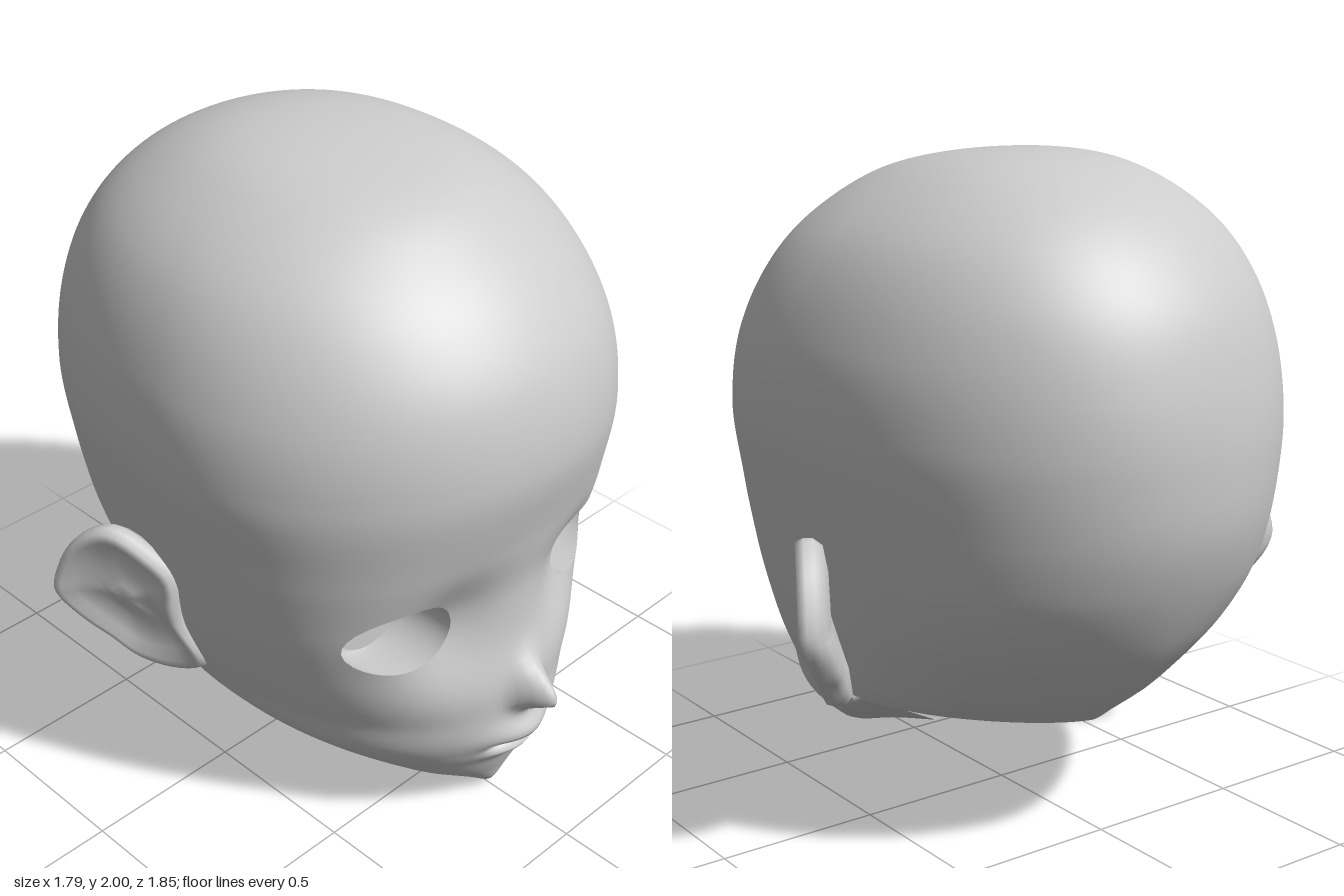
import * as THREE from 'three';
import { mergeGeometries, mergeVertices } from 'three/addons/utils/BufferGeometryUtils.js';

const material = new THREE.MeshStandardMaterial({ color: 0xcccccc, side: THREE.DoubleSide });
const TOP = 2, JAW = 0.43;

// Smooth curve through [height, value] pairs, eased so that the crown closes roundly
function profile(points) {
  const s = points.map(p => Math.sqrt(TOP - p[0])), v = points.map(p => p[1]);
  const last = s.length - 1;
  const slope = i => {
    const a = Math.max(i - 1, 0), b = Math.min(i + 1, last);
    const turns = a < i && i < b && (v[i] - v[a]) * (v[b] - v[i]) <= 0;
    return turns ? 0 : (v[b] - v[a]) / (s[b] - s[a]);
  };
  return y => {
    const q = Math.sqrt(Math.max(TOP - y, 0));
    let i = 0;
    while (i < last - 1 && q > s[i + 1]) i++;
    const h = s[i + 1] - s[i], t = Math.min((q - s[i]) / h, 1), t2 = t * t, t3 = t2 * t;
    return v[i] * (2 * t3 - 3 * t2 + 1) + v[i + 1] * (3 * t2 - 2 * t3)
      + h * (slope(i) * (t3 - 2 * t2 + t) + slope(i + 1) * (t3 - t2));
  };
}

// Half width, front line, back line and widest depth of the head at each height
const halfWidth = profile([[2, 0], [1.98, 0.23], [1.9, 0.43], [1.74, 0.62], [1.48, 0.74], [1.25, 0.765],
  [1, 0.725], [0.8, 0.69], [0.6, 0.65], [0.43, 0.59], [0.29, 0.5], [0.13, 0.27], [0.05, 0.1], [0, 0]]);
const frontZ = profile([[2, -0.13], [1.985, 0.1], [1.93, 0.36], [1.82, 0.55], [1.68, 0.7], [1.5, 0.81],
  [1.27, 0.85], [1, 0.8], [0.8, 0.77], [0.65, 0.775], [0.47, 0.8], [0.38, 0.8], [0.3, 0.79],
  [0.18, 0.755], [0.1, 0.725], [0.02, 0.69], [0, 0.65]]);
const backZ = profile([[2, -0.13], [1.965, -0.39], [1.84, -0.64], [1.63, -0.82], [1.4, -0.9],
  [1.18, -0.925], [0.94, -0.9], [0.67, -0.78], [0.47, -0.62], [0.34, -0.46], [0, -0.1]]);
const midZ = profile([[2, -0.13], [1.9, -0.05], [1.5, 0.05], [1.2, 0.08], [0.8, 0.05], [0.6, -0.01],
  [0.43, -0.05], [0.29, 0.14], [0.13, 0.4], [0.07, 0.5], [0, 0.62]]);
// Roundness exponents of the front and back sections
const frontRound = profile([[2, 2], [1.3, 2.05], [0.8, 2.35], [0.5, 2.2], [0, 1.9]]);
const backRound = profile([[2, 2.1], [0.85, 2.1], [0.4, 1.4], [0, 1.3]]);

const bell = t => Math.exp(-t * t);
const EYE = { x: 0.375, y: 0.765, rx: 0.155, ry: 0.115 };

function arc(x, y, n) {
  const w = halfWidth(y);
  const k = w > 1e-6 ? Math.min(Math.abs(x) / w, 1) : 0;
  return Math.pow(Math.max(1 - Math.pow(k, n), 0), 1 / n);
}

// Face depth with nose, lips, mouth slit and eye hollows
function faceZ(x, y) {
  const mid = midZ(y);
  let z = mid + (frontZ(y) - mid) * arc(x, y, frontRound(y));
  z += 0.125 * bell((y - 0.47) / (y > 0.47 ? 0.085 : 0.055)) * bell(x / 0.05);
  z += (0.05 * bell((y - 0.31) / 0.05) + 0.025 * bell((y - 0.235) / 0.03)) * bell(x / 0.13);
  z -= 0.055 * bell((y - 0.272) / 0.015) * Math.exp(-Math.pow(x / 0.11, 4));
  z -= 0.062 * bell((Math.abs(x) - 0.25) / 0.14) * bell((y - 0.765) / 0.16);
  return z;
}

// Surface over a grid; at(i, j) gives [x, y, z, hole], faces lying wholly in a hole are left out
function grid(nu, nv, at) {
  const pos = [], hole = [], index = [];
  for (let j = 0; j <= nv; j++) for (let i = 0; i <= nu; i++) {
    const p = at(i / nu, j);
    pos.push(p[0], p[1], p[2]);
    hole.push(!!p[3]);
  }
  const add = (a, b, c) => { if (!(hole[a] && hole[b] && hole[c])) index.push(a, b, c); };
  for (let j = 0; j < nv; j++) for (let i = 0; i < nu; i++) {
    const a = j * (nu + 1) + i, b = a + nu + 1;
    add(a, a + 1, b + 1);
    add(a, b + 1, b);
  }
  const geo = new THREE.BufferGeometry();
  geo.setAttribute('position', new THREE.Float32BufferAttribute(pos, 3));
  geo.setIndex(index);
  return geo;
}

function smoothMesh(name, ...geos) {
  const geo = mergeVertices(mergeGeometries(geos), 1e-4);
  geo.computeVertexNormals();
  const mesh = new THREE.Mesh(geo, material);
  mesh.name = name;
  return mesh;
}

const LOW = 30, HIGH = 100, COLS = 96;
const rise = j => JAW + (TOP - JAW) * Math.sin((j / HIGH) * Math.PI / 2);

// Face half, from chin to crown, with two eye openings
function faceGeometry() {
  return grid(COLS, LOW + HIGH, (t, j) => {
    let y = j < LOW ? JAW * j / LOW : rise(j - LOW);
    const u = (t - 0.5) * Math.PI;
    let x = halfWidth(y) * Math.sin(u);
    const side = Math.sign(x) || 1;
    const dx = (Math.abs(x) - EYE.x) / EYE.rx, dy = (y - EYE.y) / EYE.ry, r = Math.hypot(dx, dy);
    const inEye = r < 1;
    if (inEye) {
      const k = 1 / Math.max(r, 1e-4);
      x = side * (EYE.x + EYE.rx * dx * k);
      y = EYE.y + EYE.ry * dy * k;
    }
    return [x, y, faceZ(x, y), inEye];
  });
}

// Back half, its lower edge dropping from the jaw to the nape
function skullGeometry() {
  return grid(COLS, HIGH, (t, j) => {
    const u = Math.PI * (0.5 + t);
    const edge = JAW - 0.09 * Math.pow(Math.abs(Math.cos(u)), 1.6);
    const y = rise(j) + (edge - JAW) * Math.pow(1 - j / HIGH, 2);
    const x = halfWidth(y) * Math.sin(u), mid = midZ(y);
    return [x, y, mid - (mid - backZ(y)) * arc(x, y, backRound(y))];
  });
}

// Strip under the jaw, from the jaw ridge to the neck opening
function underJawGeometry() {
  return grid(LOW * 2, 5, (t, j) => {
    const s = t * 2 - 1, k = Math.abs(s), y = JAW * k, v = 1 - j / 5;
    const ridge = new THREE.Vector3(Math.sign(s) * halfWidth(y), y, midZ(y));
    const edge = new THREE.Vector3(0.59 * s, 0.07 + 0.36 * k, 0.37 - 0.42 * k);
    return ridge.lerp(edge, v).toArray();
  });
}

// Eye: shallow white running back from the lids, and a flat iris plate behind it
function createEye() {
  const eye = new THREE.Group();
  const white = grid(48, 6, (t, j) => {
    const a = -t * Math.PI * 2, k = j / 6;
    const x = EYE.x + EYE.rx * Math.cos(a), y = EYE.y + EYE.ry * Math.sin(a);
    const ease = k * k;
    return [
      THREE.MathUtils.lerp(x, 0.352 + 0.133 * Math.cos(a), ease),
      THREE.MathUtils.lerp(y, EYE.y + 0.112 * Math.sin(a), ease),
      THREE.MathUtils.lerp(faceZ(x, y), 0.5, Math.sin(k * Math.PI / 2)),
    ];
  });
  const iris = new THREE.Mesh(new THREE.PlaneGeometry(0.3, 0.25), material);
  iris.name = 'iris';
  iris.position.set(0.352, EYE.y, 0.495);
  eye.add(smoothMesh('eyeWhite', white), iris);
  return eye;
}

// Ear: outline in (z, y), lofted through a full back, a rolled rim and a hollow bowl
function createEar() {
  const outline = new THREE.CatmullRomCurve3([[0.04, 0.82], [-0.03, 0.9], [-0.13, 0.96], [-0.22, 0.91],
    [-0.285, 0.78], [-0.29, 0.68], [-0.24, 0.58], [-0.19, 0.52], [-0.13, 0.44], [-0.04, 0.415],
    [0.05, 0.45], [0.035, 0.63]].map(([z, y]) => new THREE.Vector3(0, y, z)), true);
  const rings = [[0, -0.085], [0.6, -0.085], [0.9, -0.07], [0.99, -0.04], [1, -0.01], [0.96, 0.015],
    [0.85, 0.016], [0.72, -0.01], [0.4, -0.03], [0.2, -0.02], [0, -0.02]];
  const geo = grid(48, rings.length - 1, (t, j) => {
    const [scale, lift] = rings[j], p = outline.getPoint(t % 1);
    const z = -0.11 + (p.z + 0.11) * scale, y = 0.7 + (p.y - 0.7) * scale;
    const base = 0.6 + 0.1 * THREE.MathUtils.clamp((y - 0.42) / 0.3, 0, 1);
    return [base + (0.04 - z) * 0.56 + lift * 0.88, y, z + lift * 0.3];
  });
  return smoothMesh('earShell', geo);
}

export function createModel() {
  const model = new THREE.Group();
  model.name = 'head';
  model.add(smoothMesh('headShell', faceGeometry(), skullGeometry(), underJawGeometry()));
  for (const [name, side] of [['left', 1], ['right', -1]]) {
    for (const [part, make] of [['Eye', createEye], ['Ear', createEar]]) {
      const group = new THREE.Group();
      group.name = name + part;
      group.add(make());
      group.scale.x = side;
      model.add(group);
    }
  }
  return model;
}
